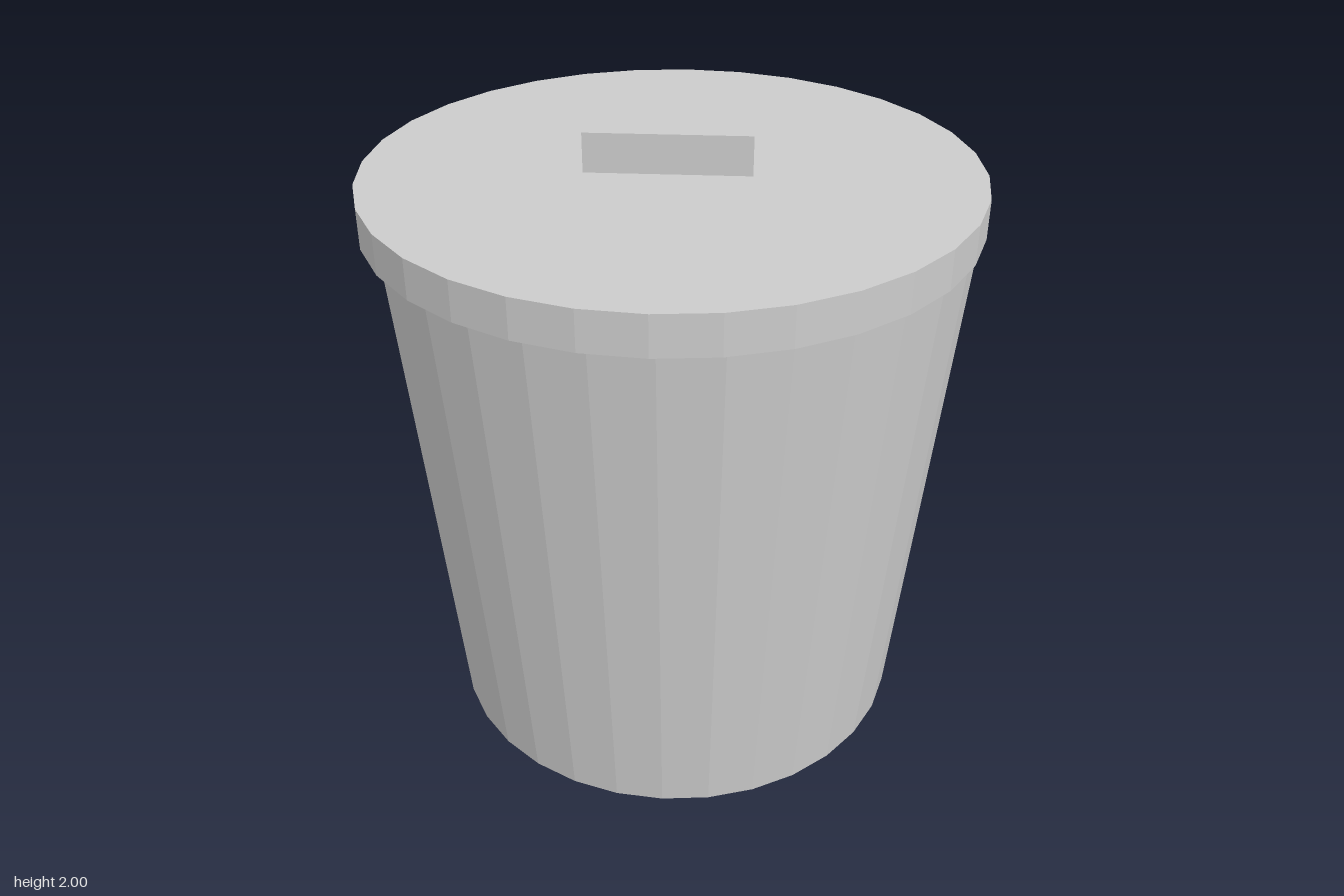
import * as THREE from 'three';

const SIDES = 32;

export function createModel() {
  const model = new THREE.Group();
  const material = new THREE.MeshStandardMaterial({
    color: 0xcccccc, flatShading: true, side: THREE.DoubleSide,
  });

  const add = (parent, name, geometry, x, y, z) => {
    const mesh = new THREE.Mesh(geometry, material);
    mesh.name = name;
    mesh.position.set(x, y, z);
    parent.add(mesh);
    return mesh;
  };

  // Tapered bin: floor, outer wall, rim and thin inner wall
  const profile = [
    [0, 0], [0.767, 0], [0.927, 1.865], [0.912, 1.865], [0.753, 0.015], [0, 0.015],
  ].map(([r, y]) => new THREE.Vector2(r, y));
  add(model, 'binBody', new THREE.LatheGeometry(profile, SIDES), 0.015, 0, 0);

  // Lid: flat top with a skirt, open underneath
  const lid = new THREE.Group();
  lid.name = 'lid';
  model.add(lid);
  add(lid, 'lidSkirt', new THREE.CylinderGeometry(0.95, 0.95, 0.125, SIDES, 1, true), 0, 1.8125, 0);
  add(lid, 'lidTop', new THREE.CircleGeometry(0.95, SIDES).rotateX(-Math.PI / 2), 0, 1.875, 0);

  // Block handle, slightly off centre
  add(lid, 'lidHandle', new THREE.BoxGeometry(0.512, 0.125, 0.125), -0.01, 1.9375, -0.013);

  return model;
}
